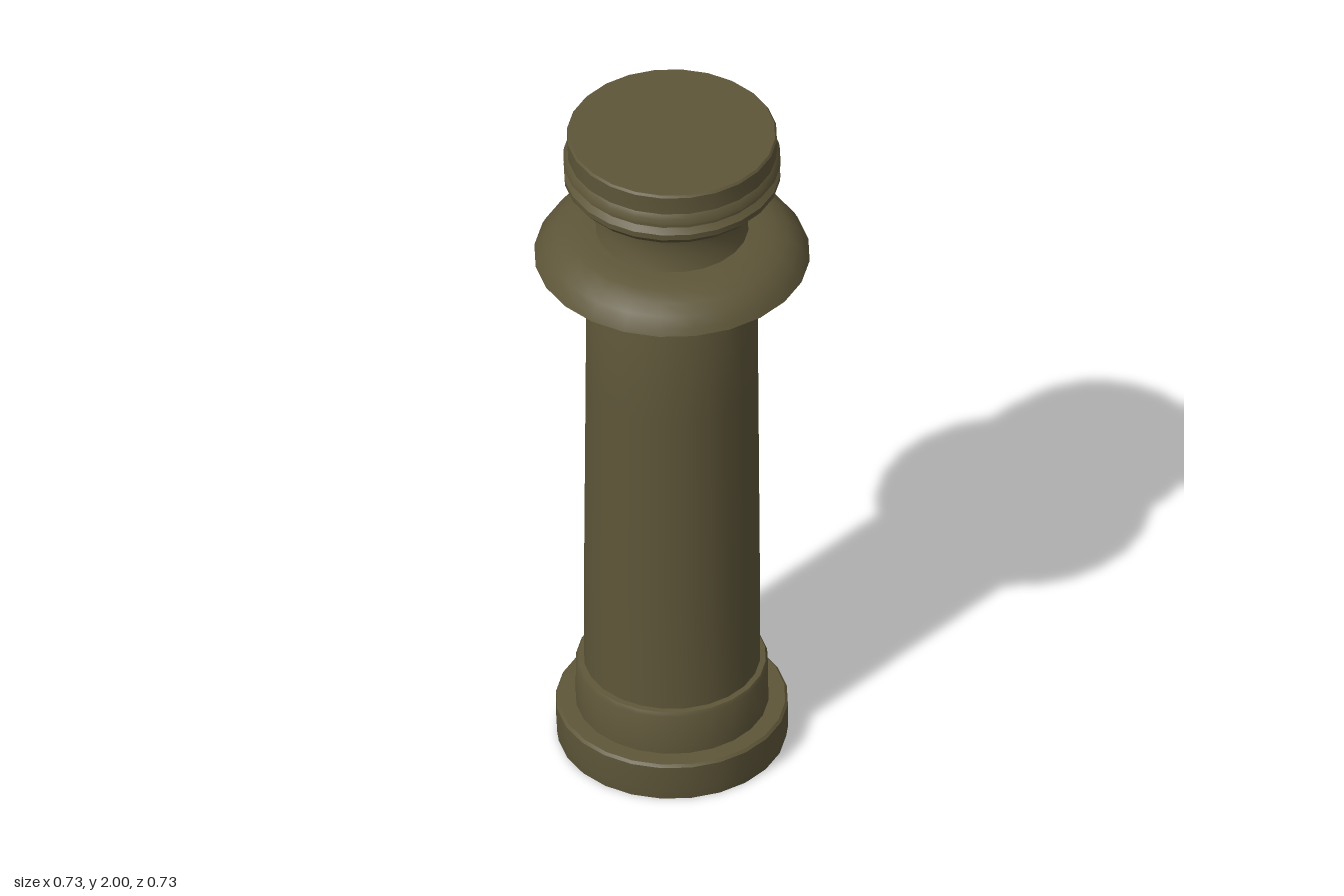
import * as THREE from 'three';
import { toCreasedNormals } from 'three/addons/utils/BufferGeometryUtils.js';

const SIDES = 24;

export function createModel() {
  const group = new THREE.Group();
  group.name = 'column';
  const olive = new THREE.MeshStandardMaterial({ color: 0x5e5639 });
  olive.name = 'olive bronze';

  // Turned part from [radius, height] points listed bottom to top
  function turned(name, profile) {
    const points = profile.map(([r, y]) => new THREE.Vector2(r, y));
    const geometry = toCreasedNormals(new THREE.LatheGeometry(points, SIDES), 0.65);
    const mesh = new THREE.Mesh(geometry, olive);
    mesh.name = name;
    group.add(mesh);
  }

  // Stepped foot
  turned('plinth', [[0, 0], [0.305, 0], [0.309, 0.03], [0.309, 0.105], [0.302, 0.112], [0.25, 0.114]]);
  turned('baseRing', [[0.257, 0.112], [0.256, 0.235], [0.25, 0.246], [0.23, 0.248]]);

  // Slightly tapered shaft with a softened upper edge
  turned('shaft', [[0.235, 0.24], [0.234, 0.6], [0.23, 1.2], [0.229, 1.48], [0.222, 1.508]]);

  // Flared collar: straight underside, rounded top
  turned('collar', [
    [0.222, 1.508], [0.29, 1.551], [0.367, 1.597], [0.358, 1.615], [0.338, 1.642],
    [0.31, 1.664], [0.275, 1.679], [0.235, 1.686], [0.2, 1.688],
  ]);

  // Waisted neck
  turned('neck', [[0.205, 1.684], [0.193, 1.72], [0.19, 1.76], [0.194, 1.8], [0.212, 1.832]]);

  // Grooved cap
  turned('cap', [
    [0.19, 1.826], [0.235, 1.827], [0.268, 1.837], [0.288, 1.86], [0.289, 1.877],
    [0.275, 1.892], [0.275, 1.902], [0.29, 1.912], [0.288, 1.928],
    [0.279, 1.94], [0.28, 1.994], [0.275, 2], [0, 2],
  ]);

  return group;
}
